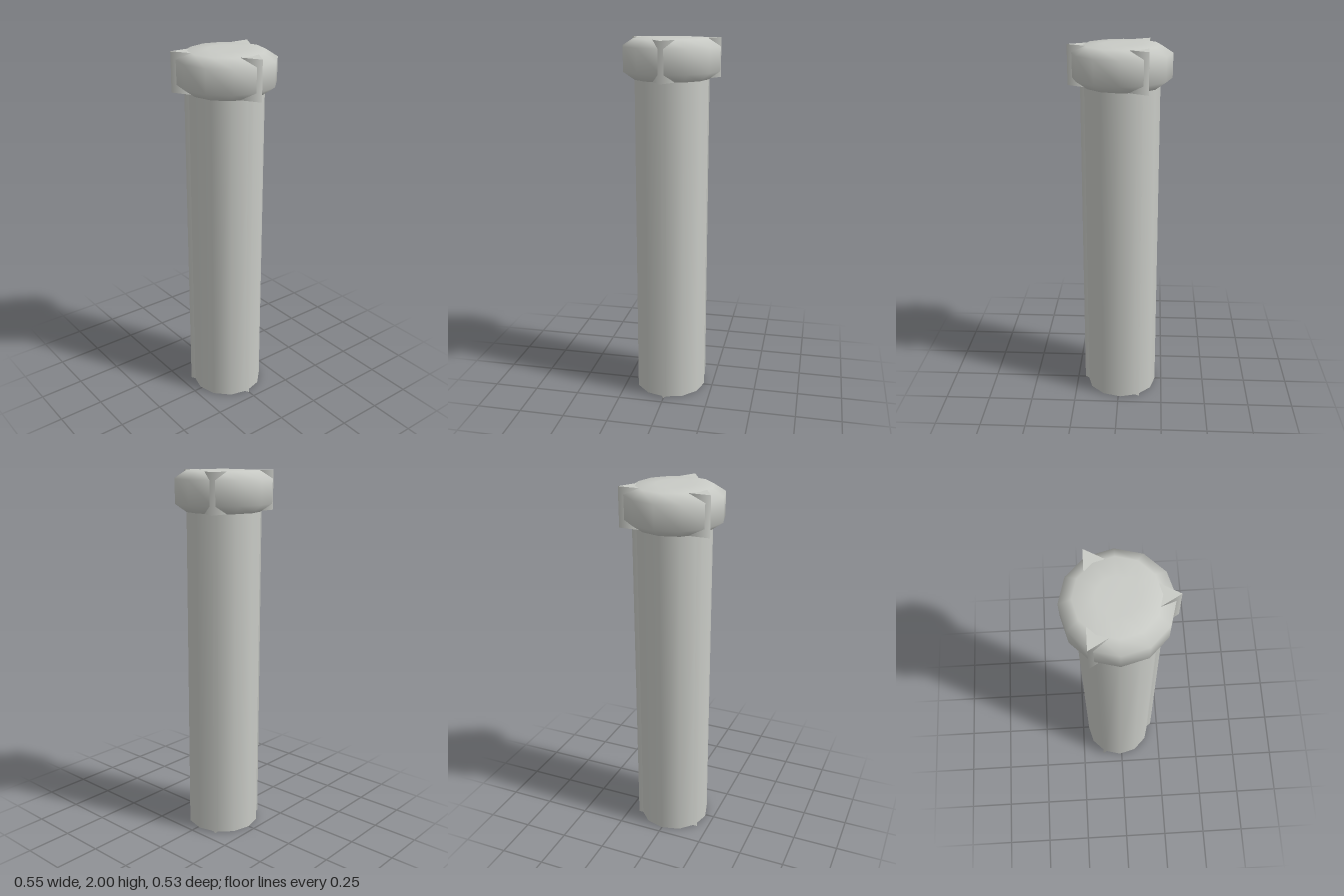
import * as THREE from 'three';

const CENTRE_X = -0.012;

export function createModel() {
  const model = new THREE.Group();
  model.name = 'column';
  const stone = new THREE.MeshStandardMaterial({ color: 0xc9cbc6 });
  stone.name = 'pale stone';

  const add = (name, geometry, x = 0, y = 0, z = 0) => {
    const mesh = new THREE.Mesh(geometry, stone);
    mesh.name = name;
    mesh.position.set(CENTRE_X + x, y, z);
    model.add(mesh);
    return mesh;
  };
  // Three-sided prism with one corner toward +x
  const prism = (radius, height) =>
    new THREE.CylinderGeometry(radius, radius, height, 3, 1, false, Math.PI / 2);

  // Twelve-sided shaft
  add('shaft', new THREE.CylinderGeometry(0.2, 0.2, 1.8, 12), 0, 0.9);

  // Triangular core whose corners show as three thin ribs along the shaft
  add('shaftRibs', prism(0.219, 1.8), 0, 0.9);

  // Rounded capital with a softly domed top
  const profile = [
    [0.2, 1.785], [0.262, 1.828], [0.263, 1.955], [0.2, 1.995], [0.1, 2], [0, 2],
  ].map(([r, y]) => new THREE.Vector2(r, y));
  add('capital', new THREE.LatheGeometry(profile, 12));

  // Wedge-shaped brackets around the capital, above each rib
  for (let i = 0; i < 3; i++) {
    const a = (i * Math.PI * 2) / 3;
    add('bracket' + (i + 1), prism(0.065, 0.21),
      0.219 * Math.cos(a), 1.89, 0.219 * Math.sin(a));
  }
  return model;
}
